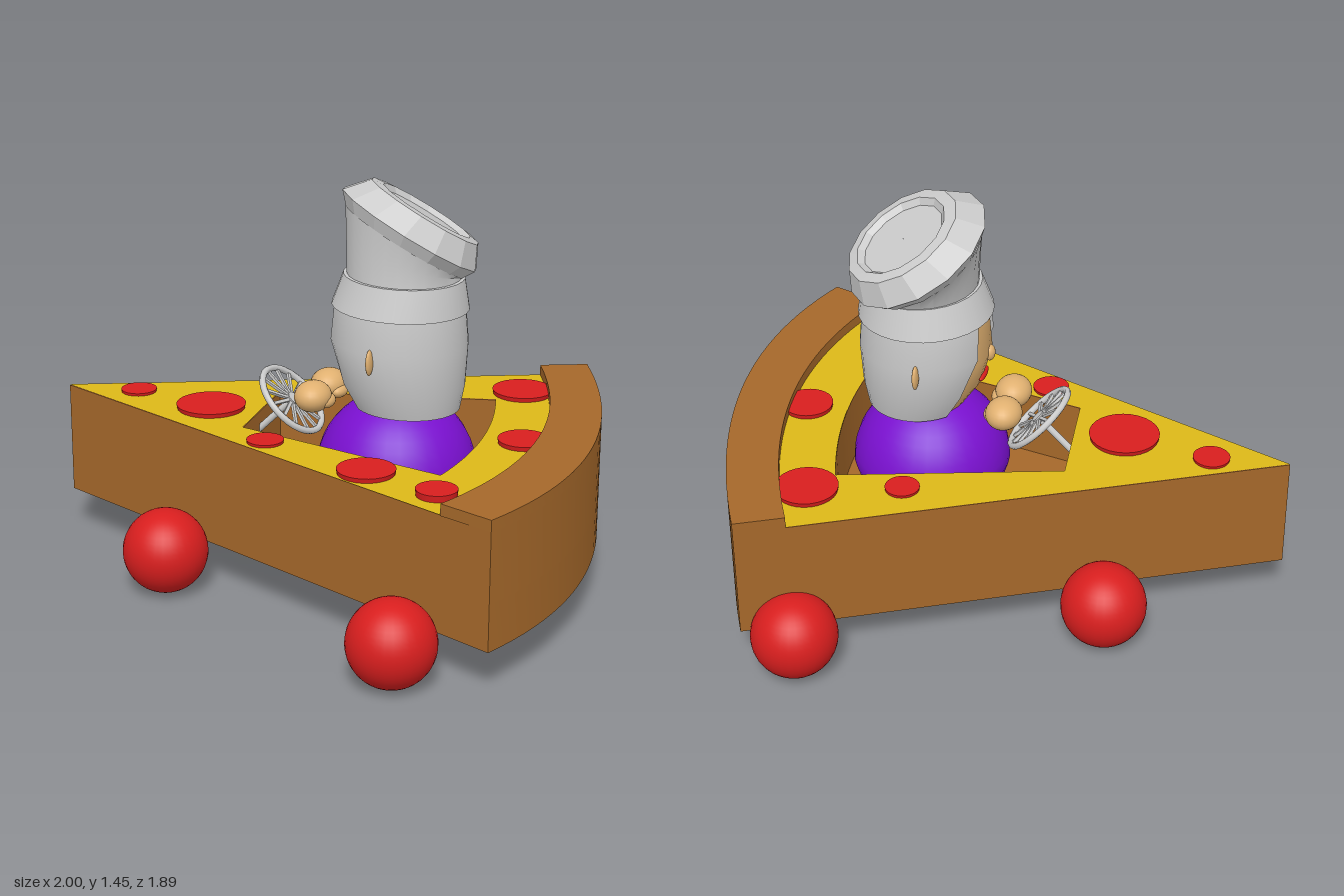
import * as THREE from 'three';
import { toCreasedNormals } from 'three/addons/utils/BufferGeometryUtils.js';

const mat = (color, side = THREE.FrontSide) => new THREE.MeshStandardMaterial({ color, side });
const BROWN = mat(0xa5682a), YELLOW = mat(0xdcb818), RED = mat(0xd81e1e);
const PURPLE = mat(0x7a10d0), SKIN = mat(0xe0b070), GREY = mat(0xcccccc);
const GREY2 = mat(0xcccccc, THREE.DoubleSide);
const UP = new THREE.Vector3(0, 1, 0);

export function createModel() {
  const model = new THREE.Group();

  function add(name, geometry, material, x = 0, y = 0, z = 0, parent = model) {
    const mesh = new THREE.Mesh(geometry, material);
    mesh.name = name;
    mesh.position.set(x, y, z);
    parent.add(mesh);
    return mesh;
  }
  // Plan shapes use (x, -z); extruded upward from y0 to y1
  function slab(name, shape, y0, y1, material) {
    const g = new THREE.ExtrudeGeometry(shape, { depth: y1 - y0, bevelEnabled: false, curveSegments: 24 });
    return add(name, toCreasedNormals(g.rotateX(-Math.PI / 2), 0.5), material, 0, y0, 0);
  }
  function ball(name, material, [x, y, z], [rx, ry, rz], parent = model) {
    const mesh = add(name, new THREE.SphereGeometry(1, 24, 16), material, x, y, z, parent);
    mesh.scale.set(rx, ry, rz);
    return mesh;
  }
  function rod(name, a, b, r) {
    const p = new THREE.Vector3(...a), q = new THREE.Vector3(...b);
    const d = q.clone().sub(p);
    const mesh = add(name, new THREE.CylinderGeometry(r, r, d.length(), 12), GREY);
    mesh.position.copy(p).add(q).multiplyScalar(0.5);
    mesh.quaternion.setFromUnitVectors(UP, d.normalize());
    return mesh;
  }
  // Skin over rings [x, y, z, radius, tilt, opening]; tilt leans toward LEAN,
  // opening is the half angle left free around the face (-x)
  const LEAN = new THREE.Vector3(0.45, 0.85, -0.27).normalize();
  function loft(rings, segs, crease) {
    const pos = [], idx = [];
    for (const [x, y, z, r, tilt = 0, open = 0] of rings) {
      const q = new THREE.Quaternion().setFromUnitVectors(UP, UP.clone().lerp(LEAN, tilt).normalize());
      for (let j = 0; j <= segs; j++) {
        const a = Math.PI + open + (j / segs) * (2 * Math.PI - 2 * open);
        const v = new THREE.Vector3(r * Math.cos(a), 0, r * Math.sin(a)).applyQuaternion(q);
        pos.push(x + v.x, y + v.y, z + v.z);
      }
    }
    for (let i = 0; i < rings.length - 1; i++) {
      for (let j = 0; j < segs; j++) {
        const p = i * (segs + 1) + j, u = p + segs + 1;
        idx.push(p, u, p + 1, p + 1, u, u + 1);
      }
    }
    const g = new THREE.BufferGeometry();
    g.setAttribute('position', new THREE.Float32BufferAttribute(pos, 3));
    g.setIndex(idx);
    return toCreasedNormals(g, crease);
  }

  // Wedge body with a cockpit opening
  const cockpit = (Path) => {
    const p = new Path();
    p.moveTo(-0.25, 0.22);
    p.lineTo(0.51, 0.425);
    p.quadraticCurveTo(0.64, 0.02, 0.57, -0.365);
    p.lineTo(-0.22, -0.185);
    p.closePath();
    return p;
  };
  const wedge = () => {
    const s = new THREE.Shape();
    s.moveTo(-1, 0);
    s.lineTo(0.87, -0.76);
    s.quadraticCurveTo(1.175, -0.065, 0.74, 0.83);
    s.closePath();
    return s;
  };
  slab('wedgeFloor', wedge(), 0.155, 0.32, BROWN);
  const walls = wedge();
  walls.holes.push(cockpit(THREE.Path));
  slab('wedgeWalls', walls, 0.32, 0.564, BROWN);

  // Cheese top
  const cheese = new THREE.Shape();
  cheese.moveTo(-1, 0);
  cheese.lineTo(0.68, -0.69);
  cheese.quadraticCurveTo(0.96, -0.03, 0.58, 0.755);
  cheese.closePath();
  cheese.holes.push(cockpit(THREE.Path));
  add('cheese', new THREE.ShapeGeometry(cheese, 24).rotateX(-Math.PI / 2), YELLOW, 0, 0.567, 0);

  // Raised crust rim
  const crust = new THREE.Shape();
  crust.moveTo(0.68, -0.69);
  crust.lineTo(0.87, -0.76);
  crust.quadraticCurveTo(1.175, -0.065, 0.74, 0.83);
  crust.lineTo(0.58, 0.755);
  crust.quadraticCurveTo(0.96, -0.03, 0.68, -0.69);
  slab('crust', crust, 0.564, 0.605, BROWN);

  // Topping slices: x, z, radius, top height
  for (const [x, z, r, top] of [
    [-0.73, -0.03, 0.065, 0.577], [-0.41, 0.035, 0.125, 0.583], [-0.09, 0.29, 0.065, 0.577],
    [0.265, -0.45, 0.06, 0.577], [0.58, -0.53, 0.11, 0.583], [0.735, -0.03, 0.09, 0.583],
    [0.335, 0.435, 0.1, 0.583], [0.615, 0.535, 0.07, 0.59],
  ]) add('toppingSlice', new THREE.CylinderGeometry(r, r * 0.95, top - 0.555, 28), RED, x, (top + 0.555) / 2, z);

  // Wheels, axles and the bar joining them
  for (const [x, z] of [[-0.43, 0.39], [0.56, 0.795]]) {
    for (const s of [1, -1]) {
      add('wheel', new THREE.SphereGeometry(0.15, 32, 24), RED, x, 0.15, s * z);
    }
    rod('axle', [x, 0.14, -z], [x, 0.14, z], 0.014);
  }
  rod('axleBar', [-0.43, 0.14, 0], [0.56, 0.14, 0], 0.008);

  // Driver torso
  const torso = [[0.2, 0.31], [0.26, 0.36]];
  for (let i = 0; i <= 12; i++) {
    const a = (i / 12) * Math.PI / 2;
    torso.push([Math.max(0.28 * Math.cos(a), 0), 0.42 + 0.28 * Math.sin(a)]);
  }
  add('torso', new THREE.LatheGeometry(torso.map((p) => new THREE.Vector2(...p)), 32), PURPLE, 0.28, 0, -0.01);

  // Head, with hair open toward the face
  add('head', loft([
    [0.33, 0.67, 0, 0.001], [0.325, 0.67, 0, 0.17], [0.3, 0.75, 0, 0.2],
    [0.287, 0.87, 0, 0.223], [0.292, 1.04, 0, 0.215],
  ], 32, 0.7), SKIN);
  add('hair', loft([
    [0.32, 0.665, 0, 0.185, 0.06, 0.8], [0.305, 0.75, 0, 0.215, 0.05, 0.7],
    [0.29, 0.9, 0, 0.238, 0.05, 0.5], [0.292, 1.03, 0, 0.225, 0.05, 0.4],
  ], 28, 0.7), GREY2);
  ball('nose', SKIN, [0.068, 0.87, 0], [0.02, 0.03, 0.025]);
  ball('mouth', RED, [0.09, 0.78, 0], [0.012, 0.012, 0.05]);
  for (const s of [1, -1]) {
    ball('ear', SKIN, [0.27, 0.88, s * 0.24], [0.011, 0.045, 0.025]);
    ball('hand', SKIN, [0, 0.675, s * 0.075], [0.065, 0.055, 0.075]);
    ball('thumb', SKIN, [0.045, 0.66, s * 0.06], [0.03, 0.025, 0.045]);
  }

  // Floppy hat: band, neck, leaning puff and sunken crown
  add('hatBand', loft([
    [0.293, 1.02, 0, 0.237, 0.06], [0.305, 1.13, 0, 0.208, 0.06], [0.305, 1.13, 0, 0.195, 0.06],
  ], 28, 0.7), GREY2);
  add('hatNeck', loft([
    [0.305, 1.11, 0, 0.196, 0.06], [0.3, 1.18, -0.015, 0.205, 0.45], [0.293, 1.24, -0.035, 0.238, 1],
  ], 28, 0.7), GREY2);
  add('hatPuff', loft([
    [0.293, 1.235, -0.035, 0.236, 1], [0.305, 1.275, -0.05, 0.27, 1], [0.35, 1.335, -0.078, 0.215, 1],
    [0.355, 1.338, -0.08, 0.175, 1], [0.347, 1.322, -0.075, 0.155, 1], [0.347, 1.322, -0.075, 0.001, 1],
  ], 14, 0.3), GREY2);

  // Steering wheel with spokes on a slanted column
  const steering = new THREE.Group();
  steering.name = 'steeringWheel';
  steering.position.set(-0.11, 0.625, 0);
  steering.rotation.z = -Math.PI / 4;
  model.add(steering);
  add('rim', new THREE.TorusGeometry(0.137, 0.012, 8, 32).rotateX(Math.PI / 2), GREY, 0, 0, 0, steering);
  add('hub', new THREE.CylinderGeometry(0.025, 0.025, 0.02, 16), GREY, 0, 0, 0, steering);
  for (let i = 0; i < 14; i++) {
    const spoke = new THREE.BoxGeometry(0.12, 0.01, 0.012).translate(0.075, 0, 0);
    add('spoke', spoke, GREY, 0, 0, 0, steering).rotation.y = (i / 14) * Math.PI * 2;
  }
  rod('steeringColumn', [-0.11, 0.625, 0], [-0.3, 0.435, 0], 0.012);

  return model;
}
